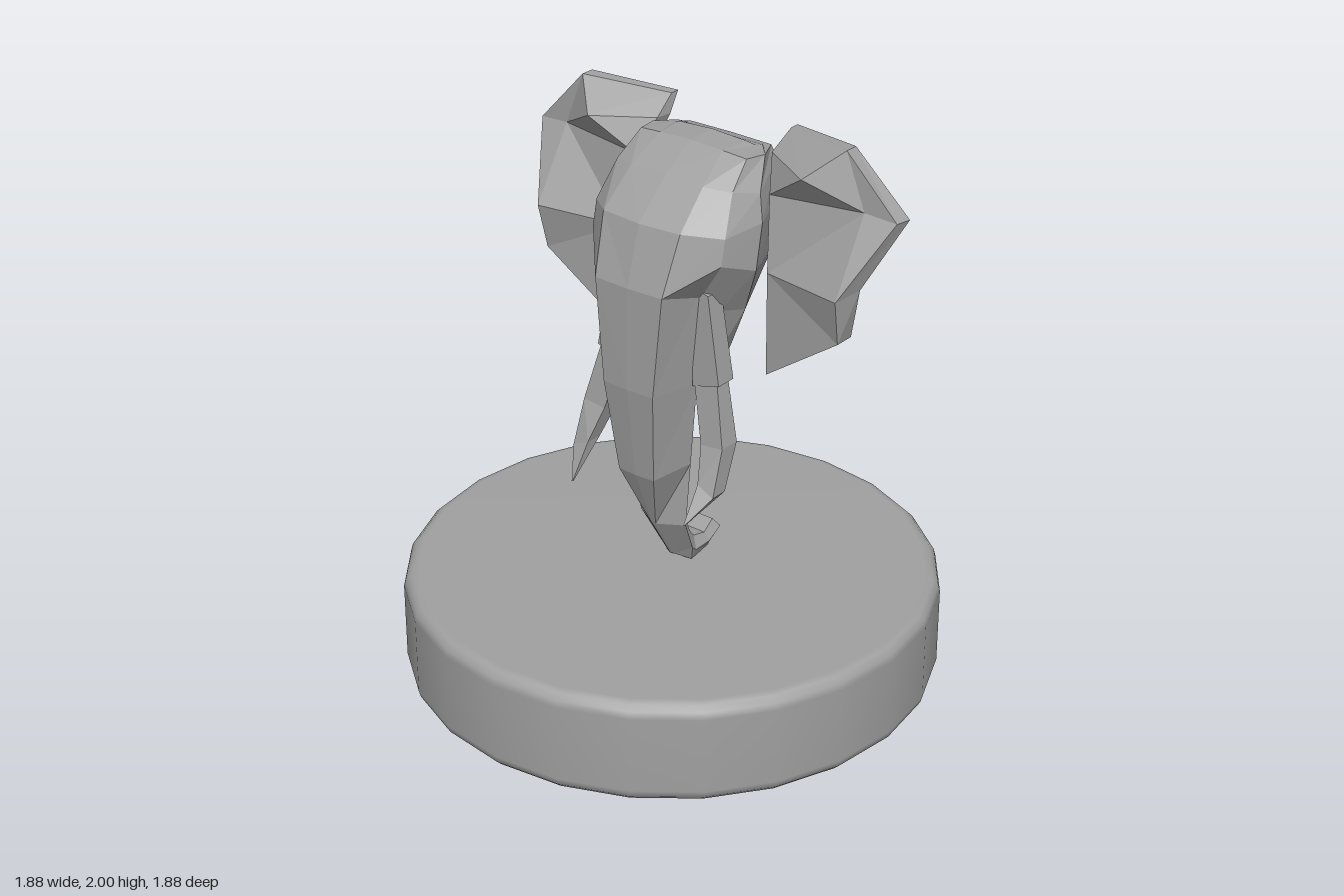
import * as THREE from 'three';

const GREY = 0xa0a0a0;
const flat = new THREE.MeshStandardMaterial({ color: GREY, flatShading: true, side: THREE.DoubleSide });
const smooth = new THREE.MeshStandardMaterial({ color: GREY });

// Faceted mesh from triangles of [x, y, z] corners; side = -1 mirrors it in x
function facets(name, tris, side = 1) {
  const pos = [];
  for (const t of tris) {
    const corners = side < 0 ? [t[0], t[2], t[1]] : t;
    for (const [x, y, z] of corners) pos.push(x * side, y, z);
  }
  const g = new THREE.BufferGeometry();
  g.setAttribute('position', new THREE.Float32BufferAttribute(pos, 3));
  g.computeVertexNormals();
  const m = new THREE.Mesh(g, flat);
  m.name = name;
  return m;
}

// Skin over closed rings (counter-clockwise from above, bottom to top), with end caps;
// the diagonals of the second half mirror those of the first
function loft(rings) {
  const tris = [];
  const n = rings[0].length;
  for (let r = 0; r < rings.length - 1; r++) {
    for (let i = 0; i < n; i++) {
      const j = (i + 1) % n, a = rings[r], b = rings[r + 1];
      if (i < n / 2) tris.push([a[i], a[j], b[j]], [a[i], b[j], b[i]]);
      else tris.push([a[i], a[j], b[i]], [a[j], b[j], b[i]]);
    }
  }
  const cap = (ring, up) => {
    const c = [0, 1, 2].map(k => ring.reduce((s, p) => s + p[k], 0) / n);
    ring.forEach((p, i) => {
      const q = ring[(i + 1) % n];
      tris.push(up ? [c, p, q] : [c, q, p]);
    });
  };
  cap(rings[0], false);
  cap(rings[rings.length - 1], true);
  return tris;
}

// Completes a half ring that runs from front centre to back centre
const mirrorRing = half => [...half, ...half.slice(1, -1).reverse().map(([x, y, z]) => [-x, y, z])];

function makeBase() {
  const lower = [[0, 0]];
  for (let i = 0; i <= 3; i++) {
    const a = -Math.PI / 2 + i * Math.PI / 6;
    lower.push([0.89 + 0.05 * Math.cos(a), 0.05 + 0.05 * Math.sin(a)]);
  }
  const upper = lower.slice().reverse().map(([x, y]) => [x, 0.38 - y]);
  const profile = [...lower, ...upper].map(p => new THREE.Vector2(...p));
  const m = new THREE.Mesh(new THREE.LatheGeometry(profile, 24), smooth);
  m.name = 'base';
  return m;
}

function makeHead() {
  // chin, jaw, brow, forehead, crown front, crown rim, crown top
  const halves = [
    [[0, 1.14, 0], [0.08, 1.14, 0], [0.13, 1.15, -0.03], [0.13, 1.15, -0.12], [0.08, 1.14, -0.16], [0, 1.14, -0.16]],
    [[0, 1.38, 0.05], [0.12, 1.39, 0.05], [0.2, 1.4, 0], [0.23, 1.38, -0.1], [0.14, 1.36, -0.26], [0, 1.36, -0.275]],
    [[0, 1.51, 0.235], [0.14, 1.51, 0.23], [0.27, 1.61, 0.085], [0.31, 1.56, -0.05], [0.17, 1.5, -0.32], [0, 1.5, -0.33]],
    [[0, 1.72, 0.175], [0.16, 1.72, 0.16], [0.27, 1.7, 0.065], [0.31, 1.72, -0.08], [0.18, 1.7, -0.35], [0, 1.7, -0.36]],
    [[0, 1.85, 0.03], [0.15, 1.84, 0.03], [0.24, 1.83, -0.01], [0.285, 1.81, -0.1], [0.18, 1.84, -0.33], [0, 1.84, -0.335]],
    [[0, 1.925, -0.1], [0.13, 1.92, -0.1], [0.22, 1.91, -0.11], [0.235, 1.905, -0.19], [0.17, 1.885, -0.31], [0, 1.885, -0.315]],
    [[0, 1.93, -0.21], [0.14, 1.92, -0.215], [0.17, 1.91, -0.225], [0.18, 1.905, -0.25], [0.15, 1.89, -0.29], [0, 1.89, -0.3]],
  ];
  return facets('head', loft(halves.map(mirrorRing)));
}

function makeTrunk() {
  // per row: front [half width, y, z], side [...], back [...], tip first
  const rows = [
    [[0.03, 0.41, -0.225], [0.05, 0.435, -0.21], [0.03, 0.465, -0.19]],
    [[0.045, 0.385, -0.14], [0.06, 0.41, -0.135], [0.04, 0.44, -0.13]],
    [[0.055, 0.378, -0.04], [0.067, 0.415, -0.05], [0.04, 0.455, -0.07]],
    [[0.01, 0.405, 0.005], [0.075, 0.44, -0.02], [0.05, 0.485, -0.04]],
    [[0.01, 0.57, 0.105], [0.1, 0.57, 0.05], [0.05, 0.57, 0]],
    [[0.075, 0.8, 0.195], [0.12, 0.82, 0.05], [0.06, 0.82, 0]],
    [[0.105, 1.14, 0.235], [0.15, 1.14, 0.055], [0.08, 1.14, 0]],
    [[0.14, 1.51, 0.23], [0.175, 1.51, 0.06], [0.1, 1.51, 0]],
  ];
  const rings = rows.map(([f, s, b]) => mirrorRing([[0, f[1], f[2] + 0.005], f, s, b, [0, b[1], b[2]]]));
  return facets('trunk', loft(rings));
}

// Four-sided ring from inner/outer x, back/front z and inner/outer y
const quadRing = ([xi, xo, zb, zf, yi, yo]) => [[xi, yi, zf], [xo, yo, zf], [xo, yo, zb], [xi, yi, zb]];

function makeTusk(side) {
  const g = new THREE.Group();
  g.name = side > 0 ? 'leftTusk' : 'rightTusk';
  g.add(facets('tusk', loft([
    [0.243, 0.247, 0.24, 0.245, 0.71, 0.71],
    [0.24, 0.305, 0.1, 0.165, 0.83, 0.8],
    [0.21, 0.3, 0.03, 0.11, 0.95, 0.96],
    [0.155, 0.25, 0.015, 0.075, 1.15, 1.17],
  ].map(quadRing)), side));
  g.add(facets('tuskSocket', loft([
    [0.15, 0.26, 0.0, 0.08, 1.14, 1.17],
    [0.14, 0.205, 0.0, 0.07, 1.5, 1.48],
  ].map(quadRing)), side));
  return g;
}

function makeEar(side) {
  // front outline, with a folded ridge (j) over a hollow (i, k)
  const f = {
    a: [0.24, 1.905, -0.22], b: [0.25, 1.965, -0.31], c: [0.55, 1.995, -0.2],
    d: [0.745, 1.79, -0.21], e: [0.63, 1.54, -0.045], f: [0.62, 1.375, -0.08],
    g: [0.32, 1.164, -0.1], h: [0.31, 1.53, -0.11], i: [0.285, 1.79, -0.15],
    j: [0.445, 1.9, -0.1], k: [0.625, 1.8, -0.2],
  };
  const b = {
    a: [0.24, 1.9, -0.29], b: [0.25, 1.965, -0.345], c: [0.55, 1.995, -0.25],
    d: [0.757, 1.79, -0.265], e: [0.66, 1.56, -0.14], f: [0.62, 1.375, -0.155],
    g: [0.32, 1.164, -0.155], h: [0.3, 1.53, -0.17], i: [0.27, 1.8, -0.25],
  };
  const tris = [];
  for (const t of ['baj', 'bjc', 'aij', 'ikj', 'jkc', 'kdc', 'ihk', 'hek', 'ked', 'hgf', 'hfe'])
    tris.push([...t].map(v => f[v]));
  for (const t of ['acb', 'adc', 'aid', 'ihd', 'hed', 'hfe', 'hgf'])
    tris.push([...t].reverse().map(v => b[v]));
  // rim between the two faces
  const rim = [...'baihgfedc'];
  rim.forEach((p, n) => {
    const q = rim[(n + 1) % rim.length];
    tris.push([f[p], b[p], b[q]], [f[p], b[q], f[q]]);
  });
  return facets(side > 0 ? 'leftEar' : 'rightEar', tris, side);
}

export function createModel() {
  const model = new THREE.Group();
  model.name = 'elephantBust';
  model.add(makeBase(), makeHead(), makeTrunk());
  for (const side of [1, -1]) model.add(makeEar(side), makeTusk(side));
  return model;
}
